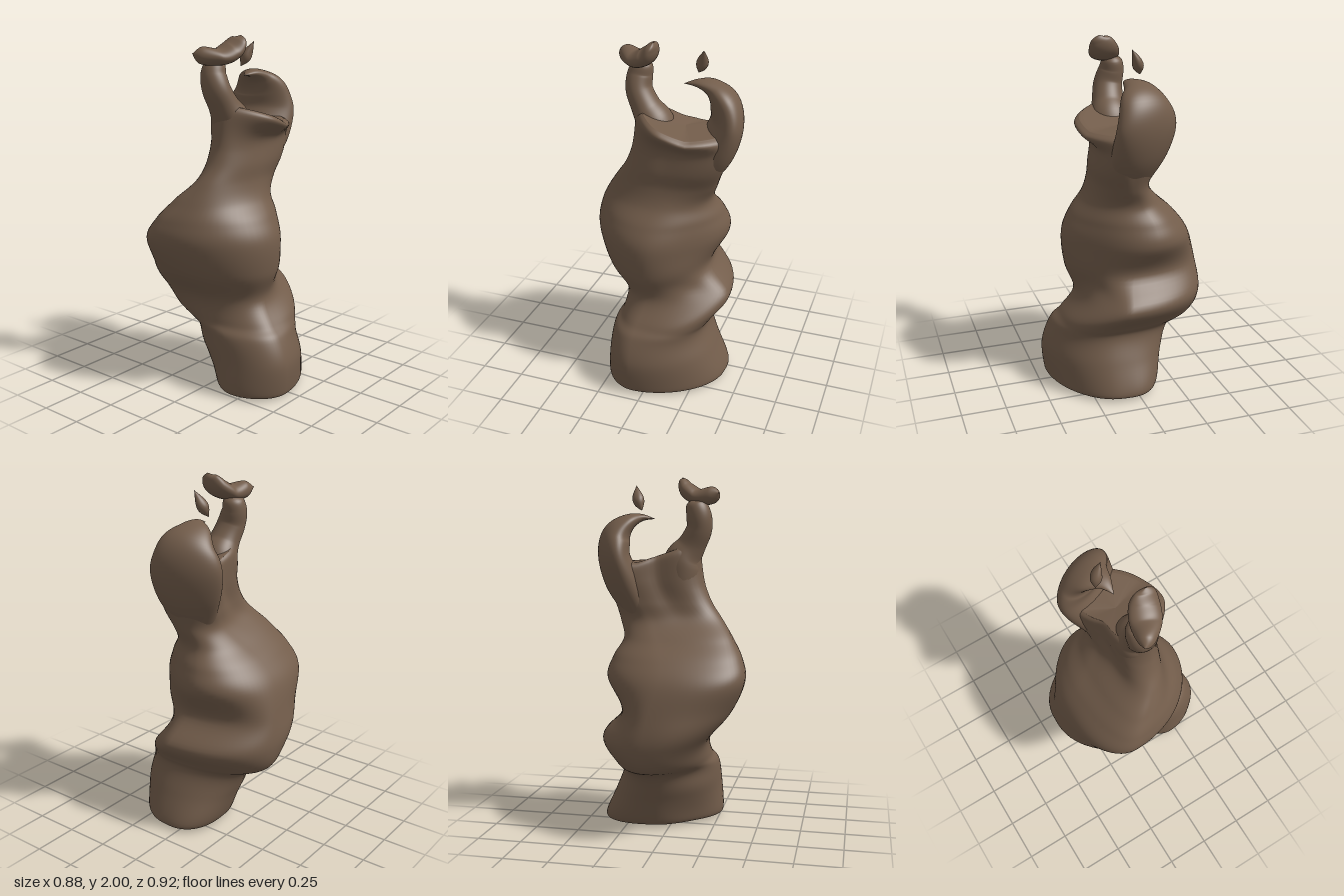
import * as THREE from 'three';

const SIDES = 64;

// Skin a stack of closed rings with smooth normals
function loft(rings) {
  const pos = [], index = [];
  rings.forEach(ring => ring.forEach(p => pos.push(p.x, p.y, p.z)));
  for (let i = 0; i < rings.length - 1; i++) {
    for (let j = 0; j < SIDES; j++) {
      const k = (j + 1) % SIDES;
      const a = i * SIDES + j, b = i * SIDES + k;
      index.push(a, a + SIDES, b, b, a + SIDES, b + SIDES);
    }
  }
  const geo = new THREE.BufferGeometry();
  geo.setAttribute('position', new THREE.Float32BufferAttribute(pos, 3));
  geo.setIndex(index);
  geo.computeVertexNormals();
  return geo;
}

// Catmull-Rom interpolation of all columns of a table
function sampleRow(table, t) {
  const s = Math.min(t * (table.length - 1), table.length - 1.0001);
  const i = Math.floor(s), f = s - i;
  const row = n => table[Math.max(0, Math.min(table.length - 1, n))];
  return table[i].map((_, c) => {
    const [p, q, r, w] = [row(i - 1)[c], row(i)[c], row(i + 1)[c], row(i + 2)[c]];
    return q + 0.5 * f * (r - p + f * (2 * p - 5 * q + 4 * r - w + f * (3 * (q - r) + w - p)));
  });
}

const hump = (v, mid, width) => Math.exp(-(((v - mid) / width) ** 2));

// Swelling of the body on its diagonals at height y
function swelling(y, c, s) {
  const base = hump(y, 0.04, 0.16);
  // front left: rising ridge, the crease above it, a slack belly and a full neck
  if (c > 0 && s > 0) {
    return 0.12 * hump(y, 0.42, 0.09) - 0.13 * hump(y, 0.61, 0.08) - 0.11 * hump(y, 0.88, 0.14)
      + 0.2 * hump(y, 1.38, 0.17) - 0.06 * base;
  }
  // back right: overhang of the belly and the root of the slim arm
  if (c < 0 && s < 0) {
    return 0.12 * hump(y, 0.6, 0.13) - 0.08 * hump(y, 0.34, 0.07) + 0.05 * hump(y, 0.85, 0.15)
      + 0.16 * hump(y, 1.13, 0.09) - 0.15 * base;
  }
  return c > 0 ? 0.12 * base : 0;
}

// Section given by its extents in x and z and where those extremes lie
function bodyRing([y, x0, x1, z0, z1, xF, xB, zR, zL]) {
  const ring = [];
  const cx = (x0 + x1) / 2, cz = (z0 + z1) / 2;
  const rise = THREE.MathUtils.smoothstep(y, 1.38, 1.54);
  for (let j = 0; j < SIDES; j++) {
    const a = (j / SIDES) * Math.PI * 2, c = Math.cos(a), s = Math.sin(a);
    const mx = s >= 0 ? xF : xB, mz = c >= 0 ? zR : zL;
    let x = mx + (c >= 0 ? x1 - mx : mx - x0) * c;
    let z = mz + (s >= 0 ? z1 - mz : mz - z0) * s;
    // diagonal swelling, less the groove up the back between the two arms
    const k = swelling(y, c, s) * Math.abs(2 * c * s) ** 1.5
      - 0.38 * hump(y, 1.45, 0.23) * hump(a, 4.25, 0.36);
    x += (x - cx) * k;
    z += (z - cz) * k;
    // pointed front lip, and a rim that climbs towards the slim arm
    z += 0.085 * hump(y, 1.51, 0.055) * Math.max(0, s) ** 3;
    ring.push(new THREE.Vector3(x, y + rise * 0.35 * Math.max(-0.02, 0.16 - x), z));
  }
  return ring;
}

// Shrink a ring towards a point, to close an end
const shrink = (ring, f, center) => ring.map(p => p.clone().lerp(center, 1 - f));

function twistedBody() {
  // y, x min, x max, z min, z max, x of front, x of back, z of left, z of right
  const levels = [
    [0.01, -0.24, 0.37, -0.1, 0.43, -0.05, 0.1, 0.1, 0.2],
    [0.04, -0.27, 0.4, -0.14, 0.45, -0.06, 0.1, 0.1, 0.2],
    [0.2, -0.26, 0.34, -0.2, 0.46, -0.07, 0.1, 0.1, 0.2],
    [0.34, -0.25, 0.29, -0.27, 0.41, -0.07, 0.08, 0.08, 0.14],
    [0.41, -0.22, 0.32, -0.41, 0.35, -0.06, 0.07, 0.06, 0.05],
    [0.54, -0.23, 0.4, -0.455, 0.27, -0.03, 0.07, 0.05, -0.05],
    [0.7, -0.36, 0.27, -0.44, 0.32, -0.03, 0.05, 0, -0.1],
    [0.88, -0.44, 0.35, -0.395, 0.33, -0.03, 0, -0.08, -0.17],
    [1.0, -0.42, 0.32, -0.31, 0.28, -0.03, 0, -0.08, -0.14],
    [1.1, -0.36, 0.27, -0.2, 0.21, 0, 0.04, -0.04, -0.05],
    [1.2, -0.29, 0.3, -0.12, 0.18, 0.01, 0.1, 0, 0.01],
    [1.3, -0.22, 0.335, -0.13, 0.18, 0.03, 0.17, 0.02, 0.04],
    [1.42, -0.17, 0.375, -0.16, 0.17, 0.04, 0.22, 0.02, 0.06],
    [1.5, -0.15, 0.38, -0.16, 0.19, 0.06, 0.22, 0, 0.05],
    [1.53, -0.12, 0.35, -0.13, 0.17, 0.06, 0.2, 0, 0.05],
  ];
  const rings = [];
  for (let i = 0; i <= 110; i++) rings.push(bodyRing(sampleRow(levels, i / 110)));
  const first = rings[0], last = rings[rings.length - 1];
  const foot = new THREE.Vector3(0.06, 0, 0.16), dish = new THREE.Vector3(0.12, 1.54, 0.03);
  rings.unshift(...[0.001, 0.5, 0.95].map(f => shrink(first, f, foot)));
  rings.push(...[0.9, 0.6, 0.3, 0.001].map(f => shrink(last, f, dish)));
  return loft(rings);
}

// Tapering tube; rows hold x, y, z, in-plane radius, sideways radius
function taper(rows, side = [0, 0, 1], steps = 48) {
  const rings = [];
  const at = t => new THREE.Vector3(...sampleRow(rows, t));
  for (let i = 0; i <= steps; i++) {
    const t = i / steps, [x, y, z, ru, rv] = sampleRow(rows, t);
    const dir = at(Math.min(1, t + 0.01)).sub(at(Math.max(0, t - 0.01))).normalize();
    const v = new THREE.Vector3(...side);
    v.addScaledVector(dir, -dir.dot(v)).normalize();
    const u = dir.clone().cross(v);
    const ring = [];
    for (let j = 0; j < SIDES; j++) {
      const a = (j / SIDES) * Math.PI * 2;
      ring.push(new THREE.Vector3(x, y, z)
        .addScaledVector(u, Math.max(ru, 0.0005) * Math.cos(a))
        .addScaledVector(v, Math.max(rv, 0.0005) * Math.sin(a)));
    }
    rings.push(ring);
  }
  return loft(rings);
}

export function createModel() {
  const group = new THREE.Group();
  const brown = new THREE.MeshStandardMaterial({ color: 0x735d4b });
  brown.name = 'warm brown';
  const add = (name, geo) => {
    const mesh = new THREE.Mesh(geo, brown);
    mesh.name = name;
    group.add(mesh);
  };

  add('twistedBody', twistedBody());

  // Broad arm that grows out of the neck and curls inward to a point
  add('leftHorn', taper([
    [0.14, 1.12, 0.02, 0.06, 0.07],
    [0.215, 1.28, 0, 0.085, 0.13],
    [0.285, 1.42, -0.02, 0.1, 0.18],
    [0.33, 1.56, -0.04, 0.088, 0.195],
    [0.315, 1.67, -0.035, 0.082, 0.16],
    [0.255, 1.742, -0.025, 0.05, 0.105],
    [0.18, 1.772, 0, 0.022, 0.045],
    [0.1, 1.765, 0.01, 0, 0],
  ], [0.38, 0, 0.92]));

  // Slim arm with a flared root and a rounded end
  add('rightHorn', taper([
    [-0.04, 1.3, 0.04, 0.1, 0.1],
    [-0.04, 1.45, 0.04, 0.115, 0.115],
    [-0.055, 1.54, 0.04, 0.105, 0.115],
    [-0.105, 1.62, 0.035, 0.08, 0.09],
    [-0.15, 1.71, 0.02, 0.072, 0.082],
    [-0.15, 1.79, 0, 0.07, 0.07],
    [-0.13, 1.85, 0, 0.052, 0.052],
    [-0.125, 1.875, 0, 0, 0],
  ]));

  // Crescent resting on the slim arm
  add('crescentCap', taper([
    [-0.27, 1.905, -0.045, 0, 0],
    [-0.235, 1.896, -0.015, 0.045, 0.045],
    [-0.15, 1.885, 0.035, 0.045, 0.08],
    [-0.08, 1.92, 0.07, 0.046, 0.08],
    [-0.048, 1.97, 0.095, 0.026, 0.055],
    [-0.04, 1.998, 0.1, 0, 0],
  ]));

  // Small splinter floating over the broad arm
  add('splinter', taper([
    [0.16, 1.81, -0.06, 0, 0],
    [0.178, 1.85, -0.045, 0.028, 0.028],
    [0.192, 1.89, -0.03, 0.03, 0.025],
    [0.205, 1.95, 0, 0, 0],
  ], [0, 0, 1], 20));

  return group;
}
